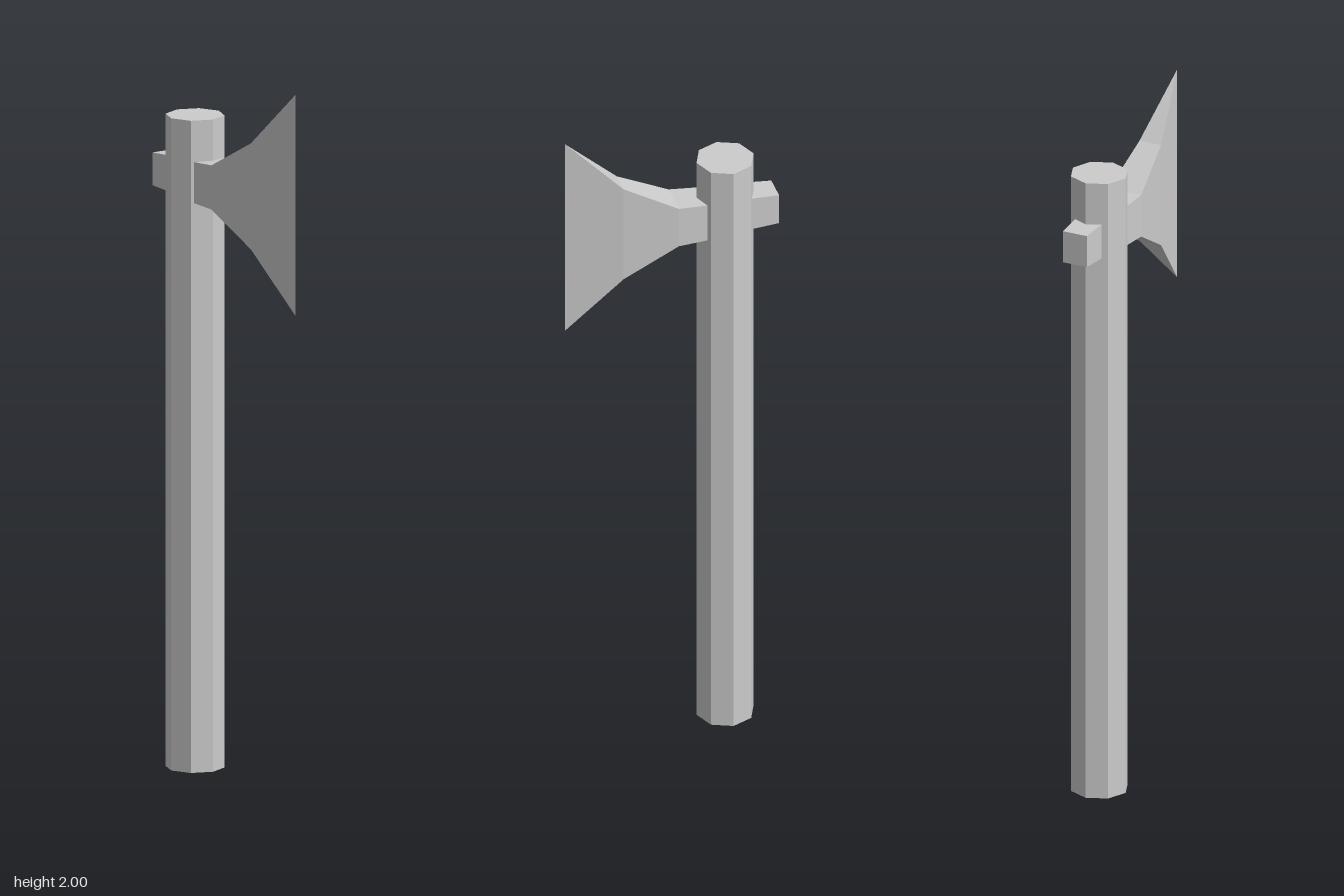
import * as THREE from 'three';

const material = new THREE.MeshStandardMaterial({ color: 0xcccccc, flatShading: true });

// Lofts rectangular sections [z, xMin, xMax, yMin, yMax], listed from back to front.
function loftSections(sections) {
  const positions = [];
  const rings = sections.map(([z, x0, x1, y0, y1]) =>
    [[x0, y0, z], [x1, y0, z], [x1, y1, z], [x0, y1, z]]);
  const quad = (a, b, c, d) => positions.push(...a, ...b, ...c, ...a, ...c, ...d);
  for (let i = 0; i < rings.length - 1; i++) {
    for (let j = 0; j < 4; j++) {
      const k = (j + 1) % 4;
      quad(rings[i][j], rings[i][k], rings[i + 1][k], rings[i + 1][j]);
    }
  }
  const [a, b, c, d] = rings[0];
  quad(a, d, c, b); // flat back of the poll
  const geometry = new THREE.BufferGeometry();
  geometry.setAttribute('position', new THREE.Float32BufferAttribute(positions, 3));
  geometry.computeVertexNormals();
  return geometry;
}

export function createModel() {
  const group = new THREE.Group();
  group.name = 'axe';

  // Octagonal shaft
  const handle = new THREE.Mesh(new THREE.CylinderGeometry(0.083, 0.083, 1.862, 8), material);
  handle.name = 'handle';
  handle.position.set(0, 0.931, -0.16);
  group.add(handle);

  // Head running from the poll, through the shaft, to the flared cutting edge
  const head = new THREE.Mesh(loftSections([
    [-0.306, -0.038, 0.038, 1.639, 1.733],
    [-0.225, -0.042, 0.041, 1.636, 1.739],
    [-0.09, -0.05, 0.045, 1.626, 1.744],
    [-0.012, -0.054, 0.047, 1.624, 1.75],
    [0.145, -0.034, 0.034, 1.535, 1.838],
    [0.306, 0, 0, 1.37, 2],
  ]), material);
  head.name = 'axeHead';
  group.add(head);

  return group;
}
